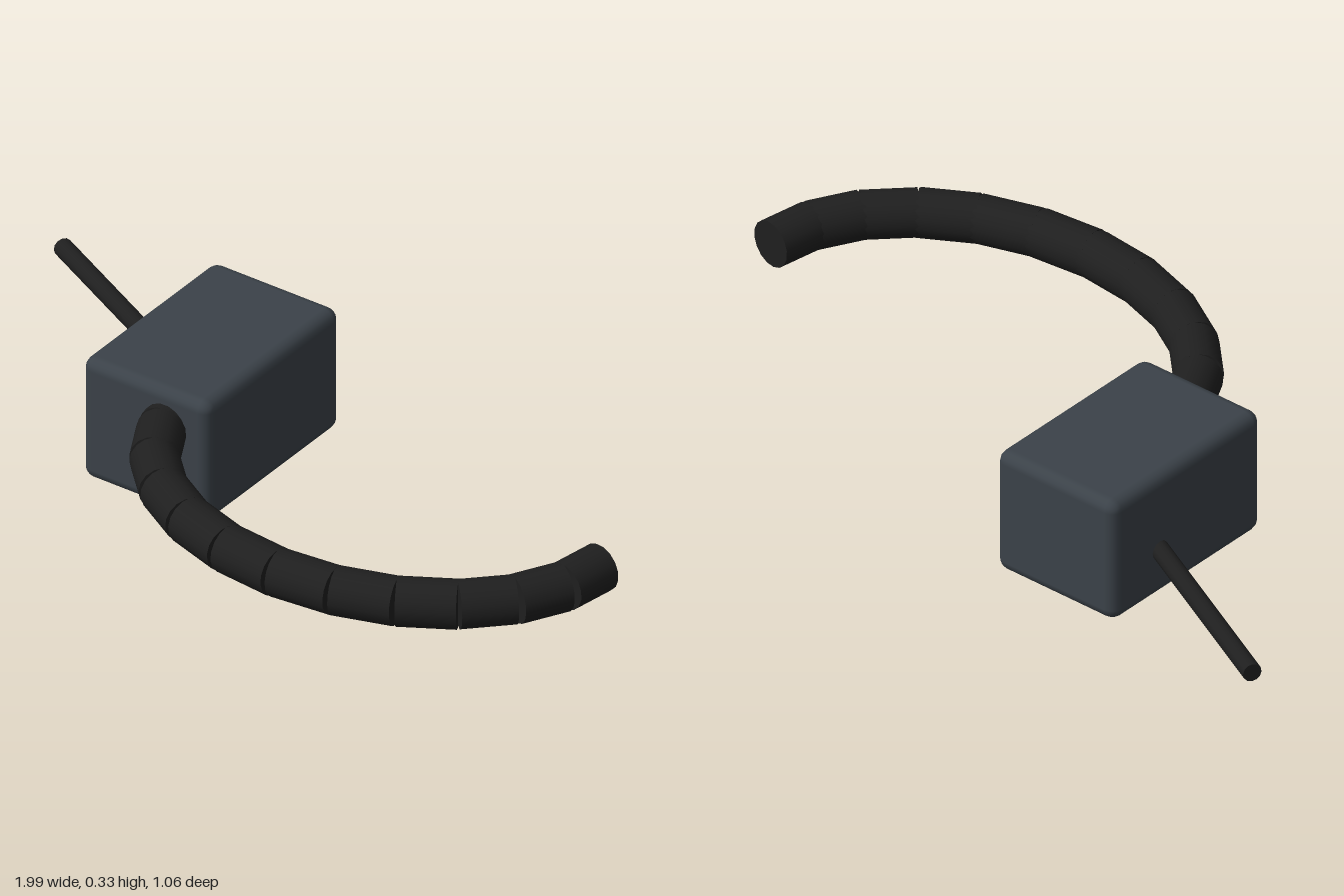
import * as THREE from 'three';
import { RoundedBoxGeometry } from 'three/addons/geometries/RoundedBoxGeometry.js';

export function createModel() {
  const model = new THREE.Group();
  model.name = 'boxWithHoseAndCable';

  const slate = new THREE.MeshStandardMaterial({ color: 0x3b4249 });
  slate.name = 'slate grey';
  const rubber = new THREE.MeshStandardMaterial({ color: 0x1f1f1f });
  rubber.name = 'black rubber';

  // Housing with softly bevelled edges
  const housing = new THREE.Mesh(new RoundedBoxGeometry(0.366, 0.332, 0.535, 2, 0.03), slate);
  housing.name = 'housing';
  housing.position.set(-0.307, 0.166, -0.159);
  model.add(housing);

  // A chain of straight capped cylinders joining the given points
  const up = new THREE.Vector3(0, 1, 0);
  function chain(name, points, radius, sides) {
    const group = new THREE.Group();
    group.name = name;
    for (let i = 1; i < points.length; i++) {
      const dir = points[i].clone().sub(points[i - 1]);
      const length = dir.length();
      const mesh = new THREE.Mesh(new THREE.CylinderGeometry(radius, radius, length, sides), rubber);
      mesh.name = name + 'Segment';
      mesh.position.copy(points[i - 1]).addScaledVector(dir, 0.5);
      mesh.quaternion.setFromUnitVectors(up, dir.normalize());
      group.add(mesh);
    }
    model.add(group);
  }

  // Hose: twelve segments along half an ellipse
  const hose = [];
  for (let i = 0; i <= 12; i++) {
    const t = Math.PI * (1 - i / 12);
    hose.push(new THREE.Vector3(0.335 + 0.6 * Math.cos(t), 0.232, 0.006 + 0.46 * Math.sin(t)));
  }
  chain('hose', hose, 0.06, 16);

  // Cable: straight run out of the housing, with its inner end hidden inside
  const cable = [];
  for (let i = 0; i <= 5; i++) {
    cable.push(new THREE.Vector3(-0.365 - 0.125 * i, 0.128, -0.197 - 0.0632 * i));
  }
  chain('cable', cable, 0.0235, 12);

  return model;
}
